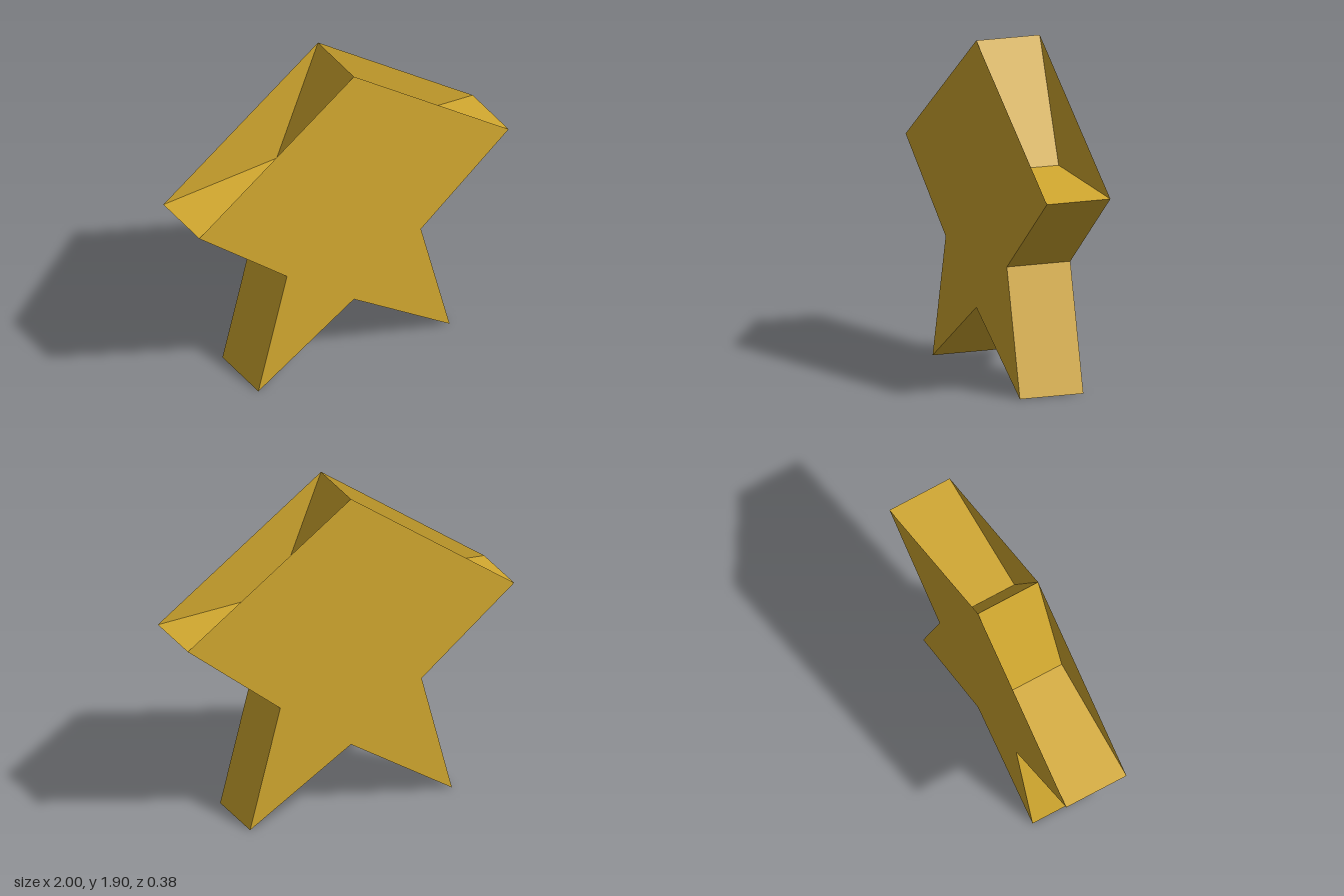
import * as THREE from 'three';

const HALF_DEPTH = 0.19;
const CENTRE_Y = 0.85;
const OUTER = 1.051;
const INNER = 0.455;

// Ten star corners, counter-clockwise from the top tip
function starPoints() {
  const points = [];
  for (let i = 0; i < 10; i++) {
    const a = Math.PI / 2 + (i * Math.PI) / 5;
    const r = i % 2 ? INNER : OUTER;
    points.push(new THREE.Vector2(r * Math.cos(a), CENTRE_Y + r * Math.sin(a)));
  }
  return points;
}

// Flat-shaded band of side walls following the star outline
function wallGeometry(points) {
  const d = HALF_DEPTH;
  const positions = [];
  points.forEach((p, i) => {
    const q = points[(i + 1) % points.length];
    positions.push(
      p.x, p.y, d, p.x, p.y, -d, q.x, q.y, -d,
      p.x, p.y, d, q.x, q.y, -d, q.x, q.y, d
    );
  });
  const geometry = new THREE.BufferGeometry();
  geometry.setAttribute('position', new THREE.Float32BufferAttribute(positions, 3));
  geometry.computeVertexNormals();
  return geometry;
}

export function createModel() {
  const group = new THREE.Group();
  group.name = 'star';
  const gold = new THREE.MeshStandardMaterial({ color: 0xd4aa30, side: THREE.DoubleSide });
  gold.name = 'gold';

  const points = starPoints();
  const add = (name, geometry) => {
    const mesh = new THREE.Mesh(geometry, gold);
    mesh.name = name;
    group.add(mesh);
    return mesh;
  };

  add('sideWalls', wallGeometry(points));

  // Face plates run straight from the top tip to the arms, over the upper notches
  const plate = new THREE.ShapeGeometry(
    new THREE.Shape(points.filter((p, i) => i !== 1 && i !== 9))
  );
  add('frontPlate', plate).position.z = HALF_DEPTH;
  const back = add('backPlate', plate);
  back.position.z = -HALF_DEPTH;
  back.rotation.y = Math.PI;

  return group;
}
